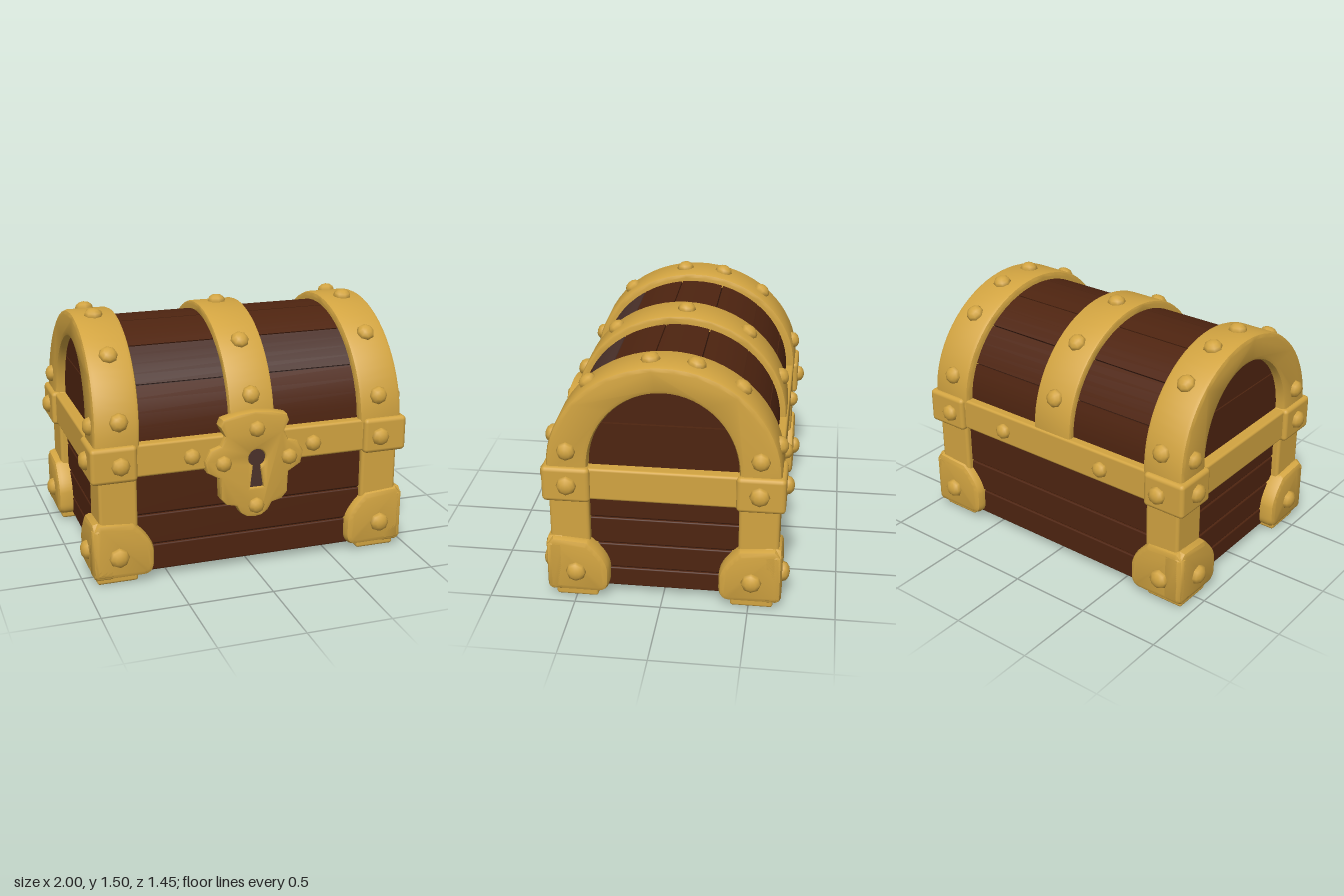
import * as THREE from 'three';
import { toCreasedNormals } from 'three/addons/utils/BufferGeometryUtils.js';
import { RoundedBoxGeometry } from 'three/addons/geometries/RoundedBoxGeometry.js';

const material = (name, color) => {
  const m = new THREE.MeshStandardMaterial({ color });
  m.name = name;
  return m;
};
const gold = material('gold', 0xd2a441);
const wood = material('wood', 0x4e2410);
const seam = material('dark seam', 0x2a1208);
const sheen = material('greyed wood', 0x4c322b);

const V2 = (x, y) => new THREE.Vector2(x, y);
const SPRING = 0.84; // height where the lid arch starts
const rad = THREE.MathUtils.degToRad;

// Extrude an outline from depth a to b with a bevel that keeps the outline size
function extrude(shape, a, b, bevel = 0) {
  const g = new THREE.ExtrudeGeometry(shape, {
    depth: b - a - 2 * bevel, steps: 1, curveSegments: 10, bevelEnabled: bevel > 0,
    bevelThickness: bevel, bevelSize: bevel, bevelOffset: -bevel, bevelSegments: 2,
  });
  g.translate(0, 0, a + bevel);
  return toCreasedNormals(g, 0.75);
}

// Same, with the outline drawn in (z, y) and extruded along x
const extrudeX = (shape, a, b, bevel) => extrude(shape, -b, -a, bevel).rotateY(-Math.PI / 2);

// Mirrored copy with corrected winding
function mirror(geo, sx, sz) {
  const g = geo.index ? geo.toNonIndexed() : geo.clone();
  g.scale(sx, 1, sz);
  if (sx * sz < 0) {
    for (const attr of Object.values(g.attributes)) {
      const n = attr.itemSize, a = attr.array;
      for (let i = 0; i < a.length; i += 3 * n)
        for (let k = 0; k < n; k++) [a[i + k], a[i + 2 * n + k]] = [a[i + 2 * n + k], a[i + k]];
    }
  }
  return g;
}

// Box given by its ranges
function box(x0, x1, y0, y1, z0, z1, r = 0) {
  const s = [x1 - x0, y1 - y0, z1 - z0];
  const g = r ? new RoundedBoxGeometry(...s, 2, r) : new THREE.BoxGeometry(...s);
  return g.translate((x0 + x1) / 2, (y0 + y1) / 2, (z0 + z1) / 2);
}

// Elliptical arc around the lid axis, angles in degrees from the front
function arc(a, b, from, to, n) {
  return Array.from({ length: n + 1 }, (_, i) => {
    const t = rad(from + (to - from) * i / n);
    return V2(a * Math.cos(t), SPRING + b * Math.sin(t));
  });
}
const archShape = (a, b, ai, bi) => new THREE.Shape([
  V2(a, 0.78), ...arc(a, b, 0, 180, 32), V2(-a, 0.78),
  V2(-ai, 0.78), ...arc(ai, bi, 180, 0, 32), V2(ai, 0.78)]);

// Rounded corner bracket outline, u is the coordinate of its outer edge
function bracketShape(u) {
  const s = new THREE.Shape();
  s.moveTo(u, 0.07);
  s.lineTo(u - 0.02, 0.045);
  s.lineTo(u - 0.3, 0.045);
  s.quadraticCurveTo(u - 0.36, 0.05, u - 0.36, 0.12);
  s.lineTo(u - 0.36, 0.2);
  s.bezierCurveTo(u - 0.35, 0.27, u - 0.29, 0.33, u - 0.24, 0.375);
  s.lineTo(u - 0.04, 0.39);
  s.lineTo(u, 0.35);
  s.closePath();
  return s;
}

export function createModel() {
  const root = new THREE.Group();
  root.name = 'treasureChest';
  const chest = new THREE.Group();
  chest.name = 'chest';
  chest.position.z = -0.01;
  root.add(chest);

  const add = (name, geo, mat) => {
    const m = new THREE.Mesh(geo, mat);
    m.name = name;
    chest.add(m);
    return m;
  };

  // Domed studs
  const studGeo = new THREE.SphereGeometry(1, 8, 6).rotateX(Math.PI / 2);
  const Z = new THREE.Vector3(0, 0, 1);
  const stud = (x, y, z, dx, dy, dz, r = 0.055) => {
    const m = add('stud', studGeo, gold);
    m.position.set(x, y, z);
    m.scale.set(r, r, 0.04);
    m.quaternion.setFromUnitVectors(Z, new THREE.Vector3(dx, dy, dz).normalize());
  };

  // Body: dark core showing in the gaps between planks
  add('bodyCore', box(-0.855, 0.855, 0.05, 0.75, -0.605, 0.605), seam);
  add('bodyFloor', box(-0.86, 0.86, 0.045, 0.06, -0.61, 0.61), wood);
  const planks = (name, levels, make) => {
    for (let i = 0; i < levels.length - 1; i++) add(name, make(levels[i] + 0.004, levels[i + 1] - 0.004), wood);
  };
  for (const s of [1, -1]) {
    planks('longPlank', [0.045, 0.21, 0.4, 0.7], (a, b) => box(-0.86, 0.86, a, b, s * 0.605 - 0.015, s * 0.605 + 0.015, 0.008));
    planks('endPlank', [0.045, 0.17, 0.33, 0.5, 0.7], (a, b) => box(s * 0.855 - 0.015, s * 0.855 + 0.015, a, b, -0.605, 0.605, 0.008));
    add('lidEndPlank', box(s * 0.855 - 0.015, s * 0.855 + 0.015, 0.8, 1.096, -0.5, 0.5), wood);
    add('lidEndPlank', box(s * 0.855 - 0.015, s * 0.855 + 0.015, 1.104, 1.33, -0.39, 0.39), wood);
  }

  // Lid: core and curved planks, one of them greyer
  add('lidCore', extrudeX(new THREE.Shape(arc(0.59, 0.555, 0, 180, 28)), -0.85, 0.85), seam);
  const cuts = [0, 32, 57, 82, 107, 132, 157, 180];
  for (let i = 0; i < cuts.length - 1; i++) {
    const a = cuts[i] + 0.35, b = cuts[i + 1] - 0.35;
    const s = new THREE.Shape([...arc(0.607, 0.572, a, b, 4), ...arc(0.56, 0.525, b, a, 4)]);
    add('lidPlank', extrudeX(s, -0.855, 0.855), i === 1 ? sheen : wood);
  }

  // Belt around the rim
  add('belt', box(-0.935, 0.935, 0.645, 0.84, -0.655, 0.655, 0.015), gold);

  // End arches, leaning slightly inwards, and the middle band
  const endArch = extrudeX(archShape(0.66, 0.62, 0.425, 0.465), 0.67, 0.935, 0.025);
  const p = endArch.attributes.position;
  for (let i = 0; i < p.count; i++) p.setX(i, p.getX(i) - 0.025 * Math.max(0, p.getY(i) - SPRING) / 0.62);
  for (const s of [1, -1]) add('endArch', mirror(endArch, s, 1), gold);
  add('middleBand', extrudeX(archShape(0.645, 0.62, 0.57, 0.54), -0.135, 0.135, 0.015), gold);

  // Studs along the arches
  const archStud = (x, deg, a) => {
    const c = Math.cos(rad(deg)), s = Math.sin(rad(deg));
    stud(x, SPRING + 0.62 * s, a * c, 0, s / 0.62, c / a);
  };
  for (const d of [13, 49, 83, 105, 130, 167]) for (const s of [1, -1]) archStud(s * 0.785, d, 0.66);
  for (const d of [20, 51, 92, 128, 160]) archStud(0, d, 0.645);

  // Four corners: post, rim block, bracket, foot and studs
  const corner = {
    post: box(0.69, 0.915, 0.06, 0.66, 0.425, 0.655, 0.02),
    rimBlock: box(0.69, 0.96, 0.632, 0.846, 0.41, 0.685, 0.025),
    bracketFront: extrude(bracketShape(0.96), 0.56, 0.677, 0.03),
    bracketSide: extrudeX(bracketShape(0.677), 0.82, 0.96, 0.03),
    foot: box(0.69, 0.93, 0, 0.1, 0.385, 0.63, 0.015),
  };
  for (const sx of [1, -1]) for (const sz of [1, -1]) {
    for (const [name, geo] of Object.entries(corner)) add(name, mirror(geo, sx, sz), gold);
    stud(sx * 0.79, 0.735, sz * 0.687, 0, 0, sz);
    stud(sx * 0.81, 0.18, sz * 0.68, 0, 0, sz, 0.06);
    stud(sx * 0.37, 0.735, sz * 0.66, 0, 0, sz, 0.05);
    stud(sx * 0.96, 0.74, sz * 0.54, sx, 0, 0, 0.058);
    stud(sx * 0.96, 0.18, sz * 0.505, sx, 0, 0, 0.06);
    stud(sx * 0.93, 0.94, sz * 0.54, sx, 0, 0);
  }

  // Lock plate with a keyhole
  const half = [[0.1, 0.965], [0.195, 0.94], [0.21, 0.9], [0.18, 0.84], [0.205, 0.785], [0.265, 0.765],
    [0.3, 0.7], [0.285, 0.63], [0.21, 0.585], [0.205, 0.46], [0.17, 0.42], [0.11, 0.405], [0.085, 0.36], [0.045, 0.332]];
  const lock = new THREE.Shape([V2(0, 0.975), ...half.map(([x, y]) => V2(x, y)), V2(0, 0.325),
    ...half.map(([x, y]) => V2(-x, y)).reverse()]);
  const keyhole = new THREE.Path();
  keyhole.moveTo(-0.025, 0.51);
  keyhole.lineTo(0.055, 0.51);
  keyhole.lineTo(0.035, 0.65);
  keyhole.absarc(0.015, 0.69, 0.052, -1.1, Math.PI + 1.1, false);
  keyhole.closePath();
  lock.holes.push(keyhole);
  add('lockPlate', extrude(lock, 0.6, 0.688, 0.015), gold);
  add('keyhole', box(-0.06, 0.09, 0.48, 0.77, 0.663, 0.67), sheen);
  for (const [x, y] of [[0.01, 0.87], [-0.19, 0.68], [0.21, 0.68], [0.01, 0.4]]) stud(x, y, 0.686, 0, 0, 1, 0.05);

  return root;
}
